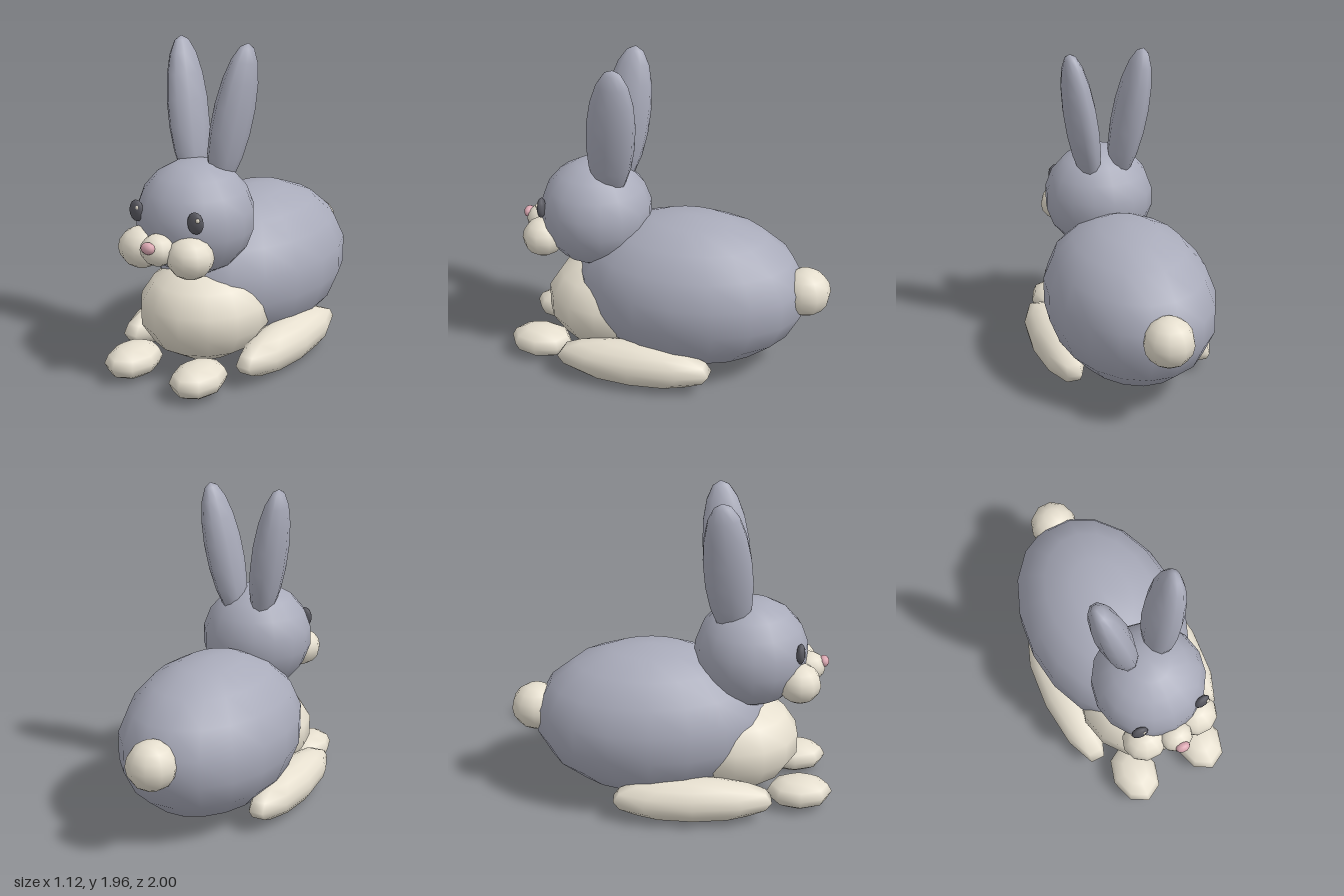
import * as THREE from 'three';

const mat = (color) => new THREE.MeshStandardMaterial({ color });

export function createModel() {
  const rabbit = new THREE.Group();
  rabbit.name = 'rabbit';
  const fur = mat(0xa9abba), cream = mat(0xe6dfcf), dark = mat(0x5a5a62), pink = mat(0xdba8b2);

  // Smooth low-poly ellipsoid: centre, radii, segment counts, rotation
  function blob(name, material, pos, radii, [w, h] = [10, 8], rot = [0, 0, 0]) {
    const mesh = new THREE.Mesh(new THREE.SphereGeometry(1, w, h), material);
    mesh.name = name;
    mesh.position.set(...pos);
    mesh.scale.set(...radii);
    mesh.rotation.set(...rot);
    rabbit.add(mesh);
    return mesh;
  }

  // The same part on both sides, mirrored in x
  function pair(name, material, [x, y, z], radii, segs, [rx, ry, rz] = [0, 0, 0]) {
    blob(name + 'Left', material, [x, y, z], radii, segs, [rx, ry, rz]);
    blob(name + 'Right', material, [-x, y, z], radii, segs, [rx, -ry, -rz]);
  }

  // Torso
  blob('body', fur, [0, 0.517, -0.13], [0.515, 0.486, 0.73], [18, 9]);
  blob('chest', cream, [0, 0.362, 0.39], [0.4, 0.305, 0.415], [14, 7]);
  blob('tail', cream, [0, 0.57, -0.85], [0.153, 0.15, 0.157], [10, 8]);

  // Head and ears
  blob('head', fur, [0, 0.96, 0.485], [0.35, 0.342, 0.352], [16, 9]);
  pair('ear', fur, [0.157, 1.53, 0.33], [0.104, 0.447, 0.152], [10, 9], [-0.1, 0, -0.175]);

  // Face
  pair('cheek', cream, [0.172, 0.82, 0.775], [0.14, 0.122, 0.132], [10, 8]);
  blob('muzzle', cream, [0, 0.855, 0.845], [0.105, 0.092, 0.1], [10, 8]);
  blob('nose', pink, [0, 0.89, 0.935], [0.046, 0.035, 0.032], [10, 8]);
  pair('eye', dark, [0.208, 1.03, 0.77], [0.052, 0.064, 0.027], [10, 8], [0, 0.12, 0]);
  for (const x of [-0.19, 0.236]) {
    blob('eyeHighlight', cream, [x, 1.053, 0.787], [0.014, 0.014, 0.01], [8, 6]);
  }

  // Feet
  pair('hindFoot', cream, [0.415, 0.146, 0.13], [0.147, 0.14, 0.508], [10, 8]);
  pair('frontPaw', cream, [0.237, 0.106, 0.797], [0.15, 0.1, 0.203], [8, 6]);

  return rabbit;
}
